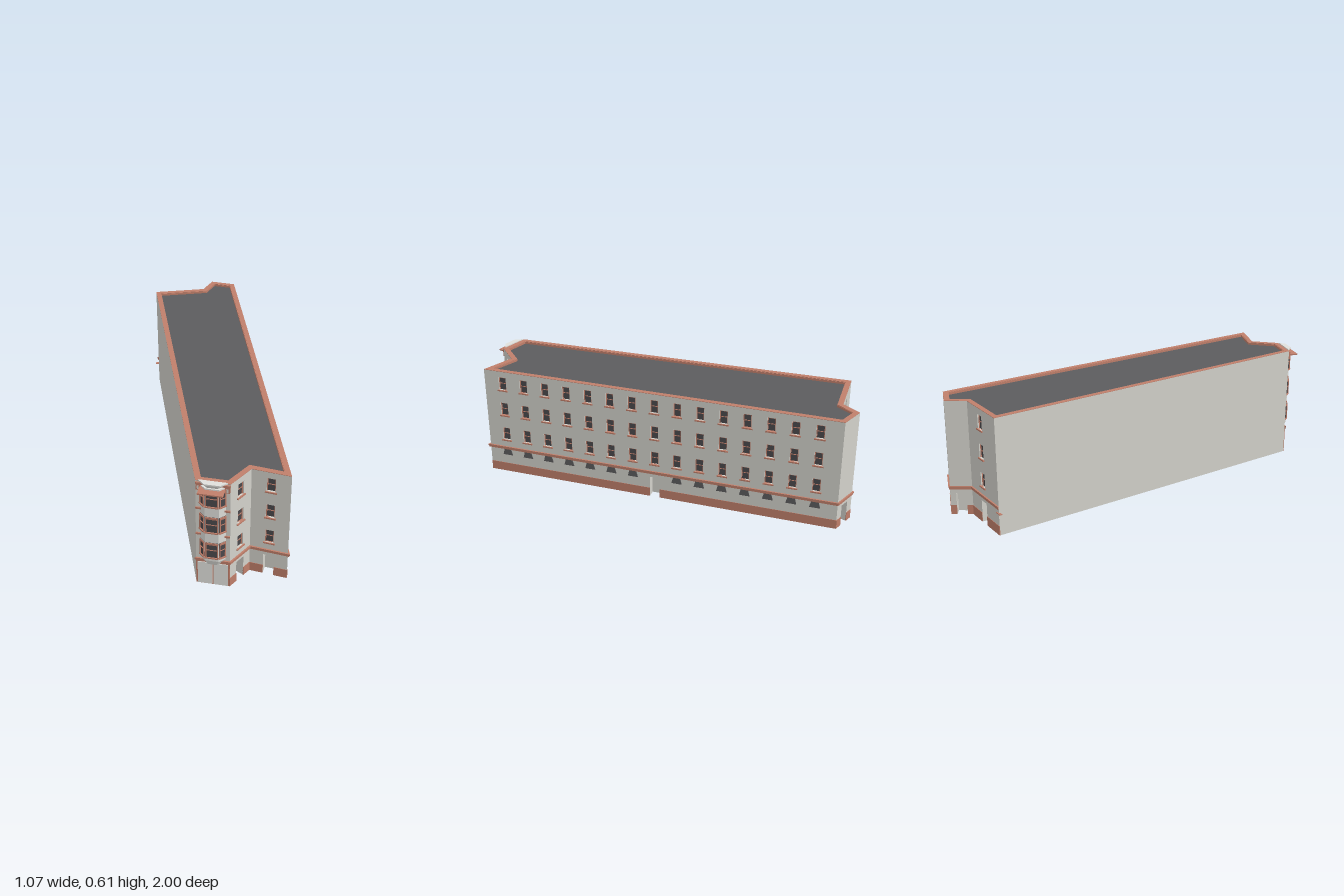
import * as THREE from 'three';

const mat = (name, color) => new THREE.MeshStandardMaterial({ name, color });

export function createModel() {
  const M = {
    wall: mat('pale render', 0xd3d2cb),
    brick: mat('terracotta', 0xc07f6b),
    roof: mat('slate grey', 0x5c5c5e),
    glass: mat('dark glass', 0x4b494c),
    trim: mat('white stone', 0xe0e0db),
  };
  const model = new THREE.Group();
  model.name = 'cornerBuilding';
  const H = 0.603, T = 0.025;

  const add = (parent, name, geo, m) => {
    const mesh = new THREE.Mesh(geo, m);
    mesh.name = name;
    parent.add(mesh);
    return mesh;
  };
  // box given by its min and max corners
  const box = (parent, name, m, x0, x1, y0, y1, z0, z1) =>
    add(parent, name, new THREE.BoxGeometry(x1 - x0, y1 - y0, z1 - z0), m)
      .position.set((x0 + x1) / 2, (y0 + y1) / 2, (z0 + z1) / 2);

  const flat = (pts) => pts.map(([x, z]) => new THREE.Vector2(x, -z));
  // upright prism over a plan outline, with an optional hole
  const prism = (name, m, pts, y0, y1, hole) => {
    const shape = new THREE.Shape(flat(pts));
    if (hole) shape.holes.push(new THREE.Path(flat(hole)));
    const geo = new THREE.ExtrudeGeometry(shape, { depth: y1 - y0, bevelEnabled: false });
    geo.rotateX(-Math.PI / 2).translate(0, y0, 0);
    return add(model, name, geo, m);
  };
  // local frame of a wall: x along it, y up, z outward
  const wallFrame = (name, p, q) => {
    const g = new THREE.Group();
    g.name = name;
    g.position.set(p[0], 0, p[1]);
    g.rotation.y = Math.atan2(p[1] - q[1], q[0] - p[0]);
    model.add(g);
    return g;
  };

  // plan outline, front left corner first
  const plan = [[0.11, 0.94], [0.27, 0.94], [0.34, 0.81], [0.525, 0.83],
    [-0.085, -0.985], [-0.22, -0.992], [-0.25, -0.885], [-0.515, -0.79]];
  const n = plan.length;
  const dir = plan.map((p, i) => {
    const q = plan[(i + 1) % n], l = Math.hypot(q[0] - p[0], q[1] - p[1]);
    return [(q[0] - p[0]) / l, (q[1] - p[1]) / l, l];
  });
  // mitred outline moved inward by d
  const inset = (d) => plan.map((p, i) => {
    const a = dir[(i + n - 1) % n], b = dir[i];
    const k = d / (1 + a[0] * b[0] + a[1] * b[1]);
    return [p[0] + (a[1] + b[1]) * k, p[1] - (a[0] + b[0]) * k];
  });
  const inner = inset(T);

  // sash window: glass, frame, meeting rail and sill
  const sash = (g, cx, y, w, h, z, f, top) => {
    const x0 = cx - w / 2, x1 = cx + w / 2;
    box(g, 'windowGlass', M.glass, x0, x1, y, y + h, z - 0.003, z);
    box(g, 'windowFrame', M.brick, x0, x0 + f, y, y + h, z, z + 0.004);
    box(g, 'windowFrame', M.brick, x1 - f, x1, y, y + h, z, z + 0.004);
    box(g, 'windowHead', M.brick, x0, x1, y + h - top, y + h, z, z + 0.004);
    box(g, 'meetingRail', M.brick, x0, x1, y + h * 0.5 - 0.0015, y + h * 0.5 + 0.0015, z, z + 0.003);
  };

  const floors = [0.197, 0.347, 0.497];
  const bays = Array.from({ length: 15 }, (_, k) => (0.83 - (0.733 - 0.115 * k)) / 1.815);
  // per wall: window positions, door position (fractions of its length), trim
  const walls = [
    { name: 'frontWall', windows: [], cornice: true },
    { name: 'frontReturnWall', windows: [0.5], door: 0.5, plinth: true, cornice: true },
    { name: 'frontSideWall', windows: [0.5], door: 0.5, plinth: true, cornice: true },
    { name: 'longStreetWall', windows: bays, door: bays[7], plinth: true, cornice: true },
    { name: 'backWall', windows: [], door: 0.5, plinth: true, cornice: true },
    { name: 'backReturnWall', windows: [], door: 0.5, plinth: true, cornice: true },
    { name: 'backSideWall', windows: [0.45], door: 0.45, plinth: true, cornice: true },
    { name: 'blankPartyWall', windows: [] },
  ];
  const outer = inset(-0.008), lip = inset(-0.005);
  const ww = 0.042, wh = 0.073, dw = 0.053, dh = 0.117;

  walls.forEach((w, i) => {
    const j = (i + 1) % n, L = dir[i][2];
    const g = wallFrame(w.name, plan[i], plan[j]);
    const d0 = w.door * L - dw / 2, d1 = d0 + dw;

    // wall slab with door notch and window holes
    const pts = [[0, 0]];
    if (w.door) pts.push([d0, 0], [d0, dh], [d1, dh], [d1, 0]);
    pts.push([L, 0], [L, H], [0, H]);
    const shape = new THREE.Shape(pts.map((p) => new THREE.Vector2(...p)));
    for (const t of w.windows) for (const y of floors) {
      const a = t * L - ww / 2, b = a + ww;
      shape.holes.push(new THREE.Path([[a, y], [a, y + wh], [b, y + wh], [b, y]]
        .map((p) => new THREE.Vector2(...p))));
    }
    const geo = new THREE.ExtrudeGeometry(shape, { depth: T, bevelEnabled: false }).translate(0, 0, -T);
    // mitre the inner ends at the corners
    const along = (p) => (p[0] - plan[i][0]) * dir[i][0] + (p[1] - plan[i][1]) * dir[i][1];
    const pos = geo.attributes.position;
    for (let v = 0; v < pos.count; v++) {
      if (pos.getZ(v) > -T / 2) continue;
      if (pos.getX(v) < 1e-5) pos.setX(v, along(inner[i]));
      else if (pos.getX(v) > L - 1e-5) pos.setX(v, along(inner[j]));
    }
    geo.computeVertexNormals();
    add(g, w.name + 'Slab', geo, M.wall);

    for (const t of w.windows) for (const y of floors) {
      sash(g, t * L, y, ww, wh, -0.01, 0.004, 0.005);
      box(g, 'windowSill', M.brick, t * L - 0.028, t * L + 0.028, y - 0.007, y, -0.01, 0.006);
    }
    // recessed door with deep jambs
    if (w.door) {
      box(g, 'doorLeaf', M.wall, d0, d1, 0, dh, -0.046, -0.042);
      box(g, 'doorJamb', M.wall, d0 - 0.004, d0, 0, dh, -0.046, -0.002);
      box(g, 'doorJamb', M.wall, d1, d1 + 0.004, 0, dh, -0.046, -0.002);
      box(g, 'doorLintel', M.wall, d0, d1, dh, dh + 0.004, -0.046, -0.002);
    }
    if (w.plinth) for (const [a, b] of [[0, d0], [d1, L]])
      box(g, 'plinth', M.brick, a, b, 0, 0.05, -0.002, 0.002);
    if (w.cornice) {
      prism('corniceLower', M.brick, [plan[i], plan[j], lip[j], lip[i]], 0.138, 0.146);
      prism('corniceUpper', M.brick, [plan[i], plan[j], outer[j], outer[i]], 0.146, 0.155);
    }
    // splayed basement lights under the cornice
    if (i === 3) w.windows.forEach((t, k) => {
      if (k === 7) return;
      const s = new THREE.Shape([[-0.028, 0.104], [0.028, 0.104], [0.019, 0.138], [-0.019, 0.138]]
        .map(([x, y]) => new THREE.Vector2(t * L + x, y)));
      add(g, 'basementLight', new THREE.ExtrudeGeometry(s, { depth: 0.004, bevelEnabled: false }), M.roof);
    });
    // small ledge at the back corner
    if (i === 6) box(g, 'cornerLedge', M.brick, L - 0.02, L + 0.019, 0.115, 0.119, -0.008, 0.006);
  });

  // roof deck and coping
  prism('roofDeck', M.roof, inner, 0.585, 0.592);
  prism('parapetCoping', M.brick, plan, H, H + 0.002, inner);
  prism('parapetLining', M.brick, inner, 0.592, H, inset(T + 0.003));

  // ground floor shopfront under the bay
  box(model, 'shopfrontFrame', M.brick, 0.11, 0.27, 0, 0.138, 0.938, 0.943);
  for (const x of [0.118, 0.193])
    box(model, 'shopfrontPanel', M.trim, x, x + 0.069, 0.003, 0.133, 0.94, 0.946);

  // string courses and top brackets flanking the bay
  for (const y of [0.297, 0.446])
    box(model, 'stringCourse', M.brick, 0.11, 0.27, y, y + 0.01, 0.938, 0.946);
  box(model, 'topCourse', M.brick, 0.11, 0.27, 0.587, 0.598, 0.938, 0.948);
  for (const x of [0.112, 0.246]) {
    box(model, 'topBracket', M.brick, x, x + 0.022, 0.557, 0.587, 0.938, 0.948);
    box(model, 'bracketPanel', M.wall, x + 0.007, x + 0.015, 0.563, 0.581, 0.946, 0.95);
  }

  // canted bay window
  const bay = [[0.13, 0.94], [0.158, 0.967], [0.222, 0.967], [0.25, 0.94]];
  const scaled = (s) => bay.map(([x, z]) => [0.19 + (x - 0.19) * s, 0.94 + (z - 0.94) * s]);
  // bay-shaped block whose plan scale changes from bottom to top
  const taper = (name, m, y0, y1, s0, s1) => {
    const mesh = prism(name, m, scaled(1), y0, y1);
    const p = mesh.geometry.attributes.position;
    for (let v = 0; v < p.count; v++) {
      const s = p.getY(v) > (y0 + y1) / 2 ? s1 : s0;
      p.setXYZ(v, 0.19 + (p.getX(v) - 0.19) * s, p.getY(v), 0.94 + (p.getZ(v) - 0.94) * s);
    }
    mesh.geometry.computeVertexNormals();
  };
  taper('bayCorbel', M.trim, 0.136, 0.165, 0.65, 1);
  taper('bayBody', M.trim, 0.165, 0.585, 1, 1);
  taper('bayCap', M.trim, 0.585, 0.603, 0.75, 1.1);
  taper('bayCapLip', M.trim, 0.603, 0.61, 1.12, 1.12);
  box(model, 'bayHood', M.brick, 0.13, 0.247, 0.571, 0.578, 0.94, 1.0);
  for (let k = 0; k < 3; k++) {
    const p = bay[k], q = bay[k + 1], L = Math.hypot(q[0] - p[0], q[1] - p[1]);
    const g = wallFrame('bayFacet', p, q);
    for (const y of [0.19, 0.34, 0.488]) {
      sash(g, L / 2, y, L - 0.004, 0.086, 0.002, 0.005, 0.011);
      box(g, 'baySill', M.brick, 0, L, y - 0.006, y, -0.002, 0.008);
    }
  }
  return model;
}
